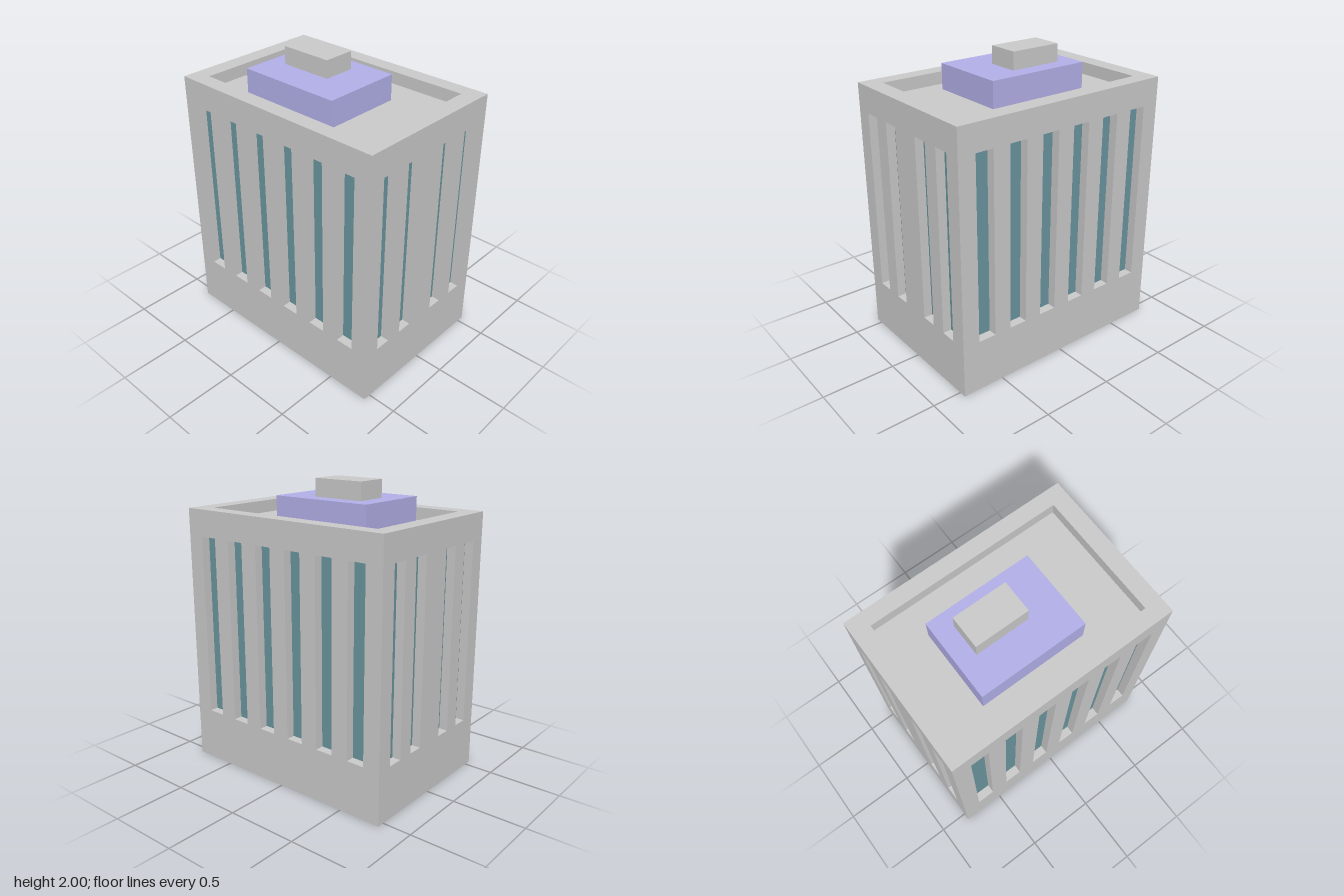
import * as THREE from 'three';
import { mergeGeometries } from 'three/addons/utils/BufferGeometryUtils.js';

const W = 1.1, H = 1.79, D = 1.6;          // main block
const SILL = 0.36, HEAD = 1.61;            // window bottom and top
const ROOF_DEPTH = 0.085, WINDOW_DEPTH = 0.06;

const grey = new THREE.MeshStandardMaterial({ color: 0xcccccc });
const teal = new THREE.MeshStandardMaterial({ color: 0x6b97a0 });
const violet = new THREE.MeshStandardMaterial({ color: 0xb4b1ea });

function mesh(name, geometry, material) {
  const m = new THREE.Mesh(geometry, material);
  m.name = name;
  return m;
}

// Flat face (facing +z) with rectangular recesses, each { x, y, w, h } by its centre
function recessedFace(name, w, h, recesses, depth, backName, backMaterial) {
  const rect = (path, x, y, rw, rh) => {
    path.moveTo(x - rw / 2, y - rh / 2);
    path.lineTo(x + rw / 2, y - rh / 2);
    path.lineTo(x + rw / 2, y + rh / 2);
    path.lineTo(x - rw / 2, y + rh / 2);
    path.closePath();
    return path;
  };
  const shape = rect(new THREE.Shape(), 0, 0, w, h);
  const solid = [], backs = [];
  for (const r of recesses) {
    shape.holes.push(rect(new THREE.Path(), r.x, r.y, r.w, r.h));
    // Inner sides of the recess, facing its middle
    const sides = [
      new THREE.PlaneGeometry(depth, r.h).rotateY(Math.PI / 2).translate(-r.w / 2, 0, 0),
      new THREE.PlaneGeometry(depth, r.h).rotateY(-Math.PI / 2).translate(r.w / 2, 0, 0),
      new THREE.PlaneGeometry(r.w, depth).rotateX(-Math.PI / 2).translate(0, -r.h / 2, 0),
      new THREE.PlaneGeometry(r.w, depth).rotateX(Math.PI / 2).translate(0, r.h / 2, 0),
    ];
    for (const s of sides) solid.push(s.translate(r.x, r.y, -depth / 2));
    backs.push(new THREE.PlaneGeometry(r.w, r.h).translate(r.x, r.y, -depth));
  }
  solid.push(new THREE.ShapeGeometry(shape));
  const group = new THREE.Group();
  group.name = name;
  group.add(mesh(name + 'Surface', mergeGeometries(solid), grey));
  group.add(mesh(backName, mergeGeometries(backs), backMaterial));
  return group;
}

function wall(name, width, centres, windowWidth) {
  const windows = centres.map((x) => ({
    x, y: (SILL + HEAD) / 2 - H / 2, w: windowWidth, h: HEAD - SILL,
  }));
  return recessedFace(name, width, H, windows, WINDOW_DEPTH, name + 'Glass', teal);
}

// Box given by its limits on each axis
function block(name, x0, x1, y0, y1, z0, z1, material) {
  const g = new THREE.BoxGeometry(x1 - x0, y1 - y0, z1 - z0);
  g.translate((x0 + x1) / 2, (y0 + y1) / 2, (z0 + z1) / 2);
  return mesh(name, g, material);
}

export function createModel() {
  const model = new THREE.Group();
  model.name = 'building';

  // Four window walls; the short ones have a wider gap in the middle
  const shortCentres = [-0.385, -0.165, 0.165, 0.385];
  const longCentres = [-2.5, -1.5, -0.5, 0.5, 1.5, 2.5].map((i) => i * 0.247);
  ['frontWall', 'leftWall', 'backWall', 'rightWall'].forEach((name, i) => {
    const long = i % 2 === 1;
    const w = long
      ? wall(name, D, longCentres, 0.125)
      : wall(name, W, shortCentres, 0.11);
    const angle = i * Math.PI / 2;
    const reach = (long ? W : D) / 2;
    w.rotation.y = angle;
    w.position.set(Math.sin(angle) * reach, H / 2, Math.cos(angle) * reach);
    model.add(w);
  });

  // Sunken roof with its parapet rim
  const roof = recessedFace('roof', W, D, [{ x: 0, y: 0, w: 0.88, h: 1.36 }],
    ROOF_DEPTH, 'roofFloor', grey);
  roof.rotation.x = -Math.PI / 2;
  roof.position.y = H;
  model.add(roof);

  // Underside
  model.add(mesh('underside', new THREE.PlaneGeometry(W, D).rotateX(Math.PI / 2), grey));

  // Rooftop plant room and the smaller unit on it
  model.add(block('plantRoom', -0.33, 0.22, H - ROOF_DEPTH, 1.88, -0.43, 0.305, violet));
  model.add(block('rooftopUnit', -0.11, 0.11, 1.88, 2, -0.307, 0.06, grey));

  return model;
}
